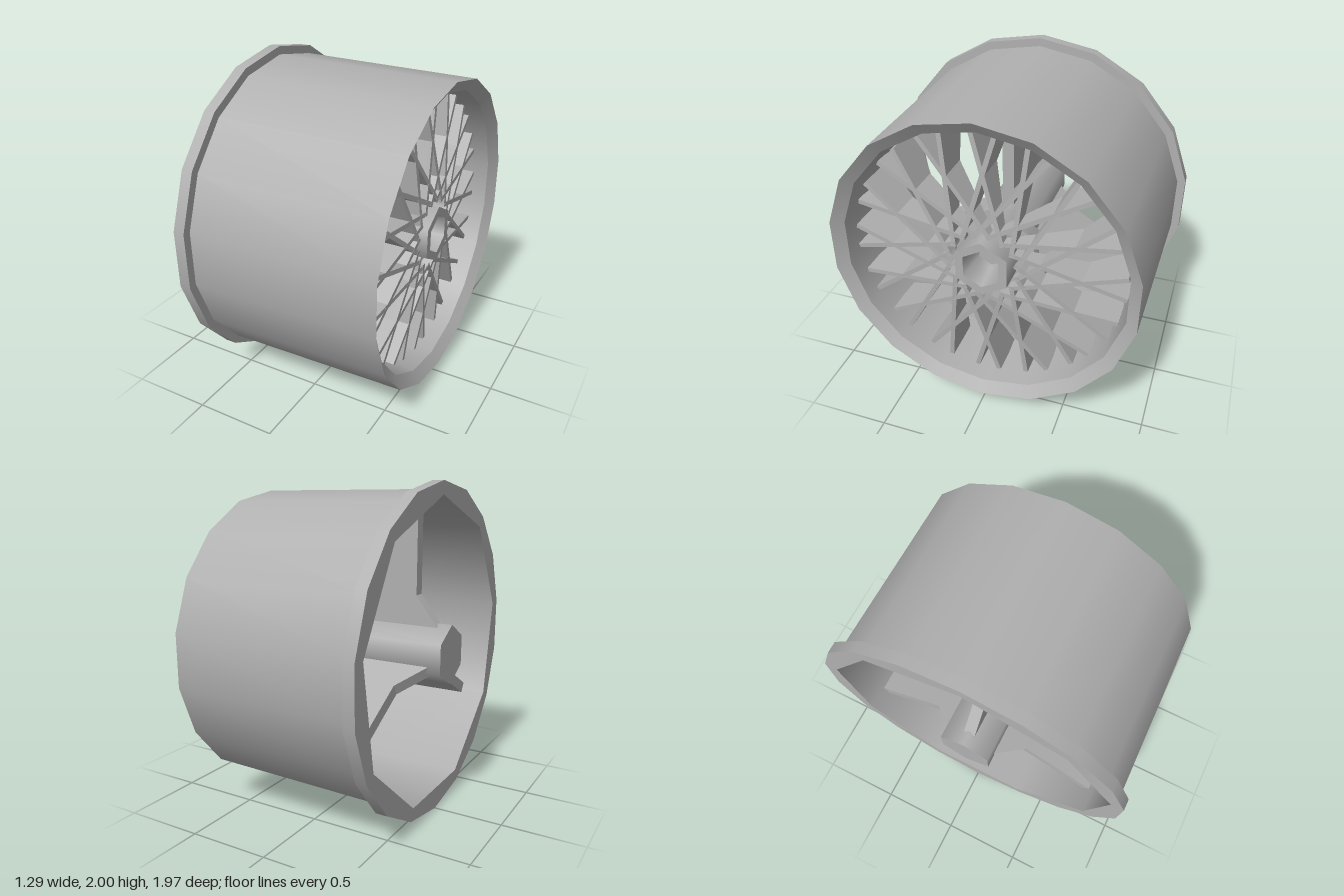
import * as THREE from 'three';

const metal = new THREE.MeshStandardMaterial({ color: 0xb0b0b0, side: THREE.DoubleSide });
metal.name = 'grey metal';

function add(parent, geometry, name) {
  const mesh = new THREE.Mesh(geometry, metal);
  mesh.name = name;
  parent.add(mesh);
  return mesh;
}

// Smooth n-sided tube wall around the x axis, from (x0, r0) to (x1, r1), one corner at the top
function wall(x0, r0, x1, r1, n) {
  const g = new THREE.CylinderGeometry(r1, r0, x1 - x0, n, 1, true);
  return g.rotateZ(-Math.PI / 2).rotateX(-Math.PI / 2).translate((x0 + x1) / 2, 0, 0);
}

function polygon(r, n) {
  return Array.from({ length: n }, (_, i) => {
    const a = (i / n) * Math.PI * 2;
    return new THREE.Vector2(r * Math.sin(a), r * Math.cos(a));
  });
}

// Flat n-sided face at x, with an optional m-sided hole
function face(x, r, n, holeR = 0, m = n) {
  const shape = new THREE.Shape(polygon(r, n));
  if (holeR) shape.holes.push(new THREE.Path(polygon(holeR, m)));
  return new THREE.ShapeGeometry(shape).rotateY(Math.PI / 2).translate(x, 0, 0);
}

// Plate with a profile in (x, radius), centred on its thickness
function plate(points, thickness) {
  const shape = new THREE.Shape(points.map(([x, y]) => new THREE.Vector2(x, y)));
  return new THREE.ExtrudeGeometry(shape, { depth: thickness, bevelEnabled: false })
    .translate(0, 0, -thickness / 2);
}

export function createModel() {
  const wheel = new THREE.Group();
  wheel.name = 'wheel';
  const body = new THREE.Group();
  body.position.y = 1;
  wheel.add(body);

  // Barrel, back flange and inner walls
  const rim = new THREE.Group();
  rim.name = 'rim';
  body.add(rim);
  add(rim, wall(-0.5, 0.95, 0.64, 0.93, 18), 'barrel');
  add(rim, wall(-0.57, 1, -0.5, 1, 18), 'flangeEdge');
  add(rim, face(-0.57, 1, 18, 0.92, 9), 'flangeBack');
  add(rim, face(-0.5, 1, 18, 0.95), 'flangeFront');
  add(rim, wall(-0.57, 0.92, 0.15, 0.92, 9), 'backLining');
  add(rim, face(0.15, 0.92, 9, 0.82, 18), 'liningStep');
  add(rim, wall(0.15, 0.82, 0.59, 0.86, 18), 'frontLining');
  add(rim, wall(0.59, 0.86, 0.64, 0.93, 18), 'frontLip');

  // Six-sided axle with a socket in the front
  const hub = new THREE.Group();
  hub.name = 'hub';
  body.add(hub);
  add(hub, wall(-0.645, 0.18, 0.58, 0.18, 6), 'axle');
  add(hub, face(-0.645, 0.18, 6), 'axleBack');
  add(hub, face(0.58, 0.18, 6, 0.125), 'axleFront');
  add(hub, wall(0.4, 0.09, 0.58, 0.125, 6), 'socketWall');
  add(hub, face(0.4, 0.09, 6), 'socketFloor');

  // Hub disc with a raised edge
  add(hub, wall(0.3, 0.3, 0.4, 0.3, 6), 'discEdge');
  add(hub, face(0.3, 0.3, 6, 0.17), 'discBack');
  add(hub, face(0.4, 0.3, 6, 0.27), 'discLip');
  add(hub, wall(0.37, 0.27, 0.4, 0.27, 6), 'discLipInside');
  add(hub, face(0.37, 0.27, 6, 0.17), 'discFront');

  // Three support fins behind the spokes
  const fin = plate([[-0.59, 0.13], [0.1, 0.13], [0.1, 0.87], [-0.43, 0.87], [-0.43, 0.34]], 0.07);
  for (let i = 0; i < 3; i++) {
    add(body, fin, 'supportFin').rotation.x = (i * Math.PI * 2) / 3;
  }

  // Sixteen pairs of crossed spokes, deeper towards the rim
  const inner = new THREE.Vector2(0.16, 0.12);
  const outer = new THREE.Vector2(0.827, -0.072);
  const length = inner.distanceTo(outer);
  const tilt = Math.atan2(outer.y - inner.y, outer.x - inner.x);
  const spoke = plate([[0.5, 0], [0.55, 0], [0.5, length], [0.22, length]], 0.028);
  for (let i = 0; i < 16; i++) {
    const pair = new THREE.Group();
    pair.name = 'spokePair';
    pair.rotation.x = (i * Math.PI) / 8;
    body.add(pair);
    for (const side of [-1, 1]) {
      const mesh = add(pair, spoke, 'spoke');
      mesh.position.set(0, inner.x, side * inner.y);
      mesh.rotation.x = side * tilt;
    }
  }
  return wheel;
}
